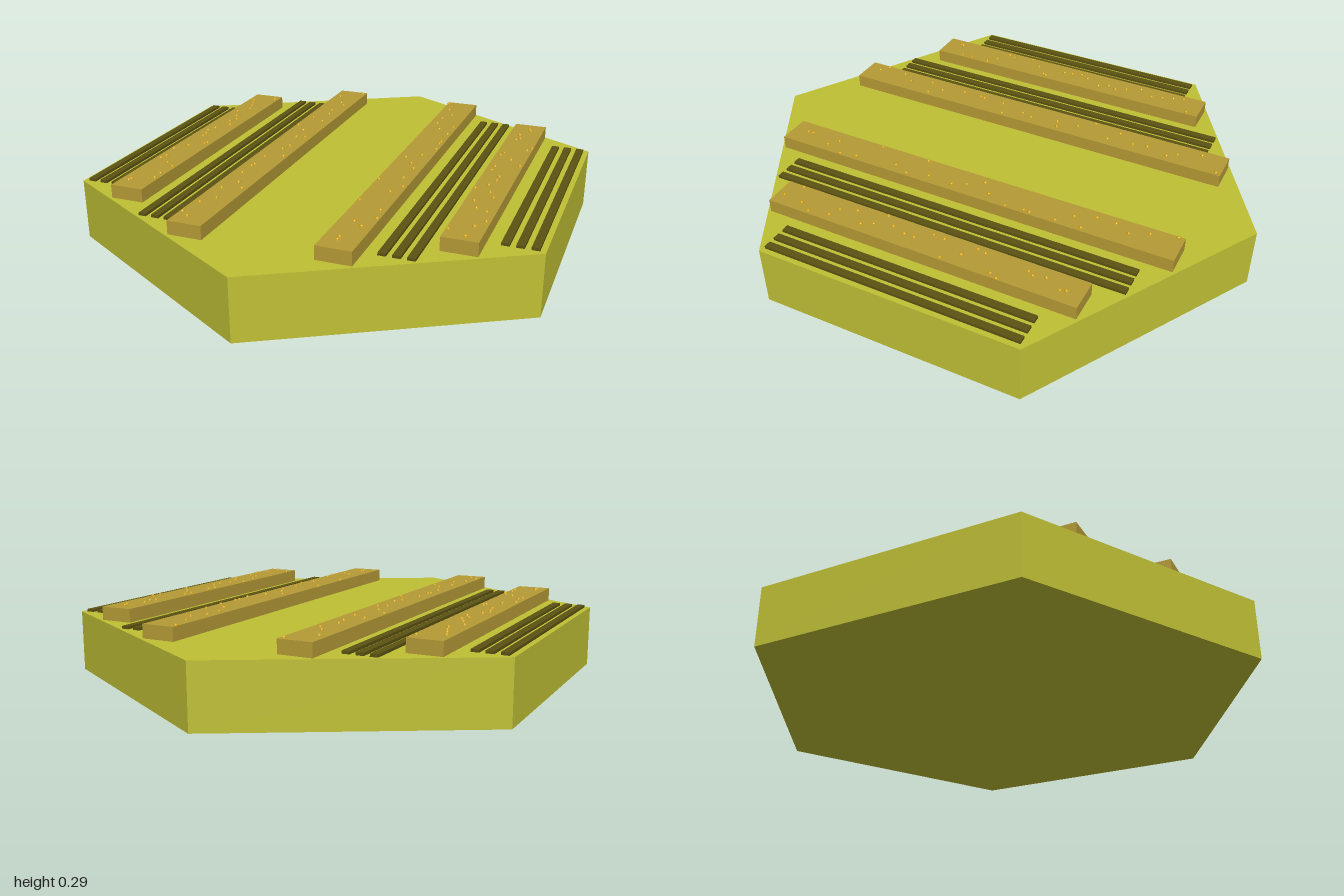
import * as THREE from 'three';

const BASE_H = 0.23, BED_TOP = 0.28;
const paint = (color) => new THREE.MeshStandardMaterial({ color, flatShading: true });

export function createModel() {
  const model = new THREE.Group();
  model.name = 'fieldTile';
  const grass = paint(0xbfbf35), soil = paint(0xb59a36), dark = paint(0x5a5212), gold = paint(0xd4a514);

  const add = (parent, name, geometry, material, x, y, z = 0) => {
    const mesh = new THREE.Mesh(geometry, material);
    mesh.name = name;
    mesh.position.set(x, y, z);
    parent.add(mesh);
    return mesh;
  };

  // Small seeded generator for scattering the seeds
  let state = 7;
  const random = () => (state = (state * 16807) % 2147483647) / 2147483647;

  // Hexagonal ground slab with corners at front and back
  add(model, 'hexBase', new THREE.CylinderGeometry(1, 1, BASE_H, 6), grass, 0, BASE_H / 2);

  const seedGeometry = new THREE.SphereGeometry(0.007, 8, 6);

  // Raised planting bed sprinkled with seeds
  const addBed = (x, length) => {
    const bed = new THREE.Group();
    bed.name = 'plantingBed';
    bed.position.x = x;
    const h = BED_TOP - BASE_H;
    add(bed, 'bedSoil', new THREE.BoxGeometry(0.126, h, length), soil, 0, BASE_H + h / 2);
    for (let i = 0; i < 26; i++) {
      const z = ((i + random()) / 26 - 0.5) * (length - 0.04);
      add(bed, 'seed', seedGeometry, gold, (random() - 0.5) * 0.116, BED_TOP, z);
    }
    model.add(bed);
  };

  // Three narrow dark furrows side by side
  const addFurrows = (x, length) => {
    const furrows = new THREE.Group();
    furrows.name = 'furrows';
    furrows.position.x = x;
    for (const dx of [-0.049, 0, 0.049]) {
      add(furrows, 'furrow', new THREE.BoxGeometry(0.028, 0.02, length), dark, dx, BASE_H);
    }
    model.add(furrows);
  };

  for (const side of [-1, 1]) {
    addBed(side * 0.262, 1.6);
    addBed(side * 0.609, 1.2);
    addFurrows(side * 0.435, 1.4);
    addFurrows(side * 0.783, 0.98);
  }
  return model;
}
